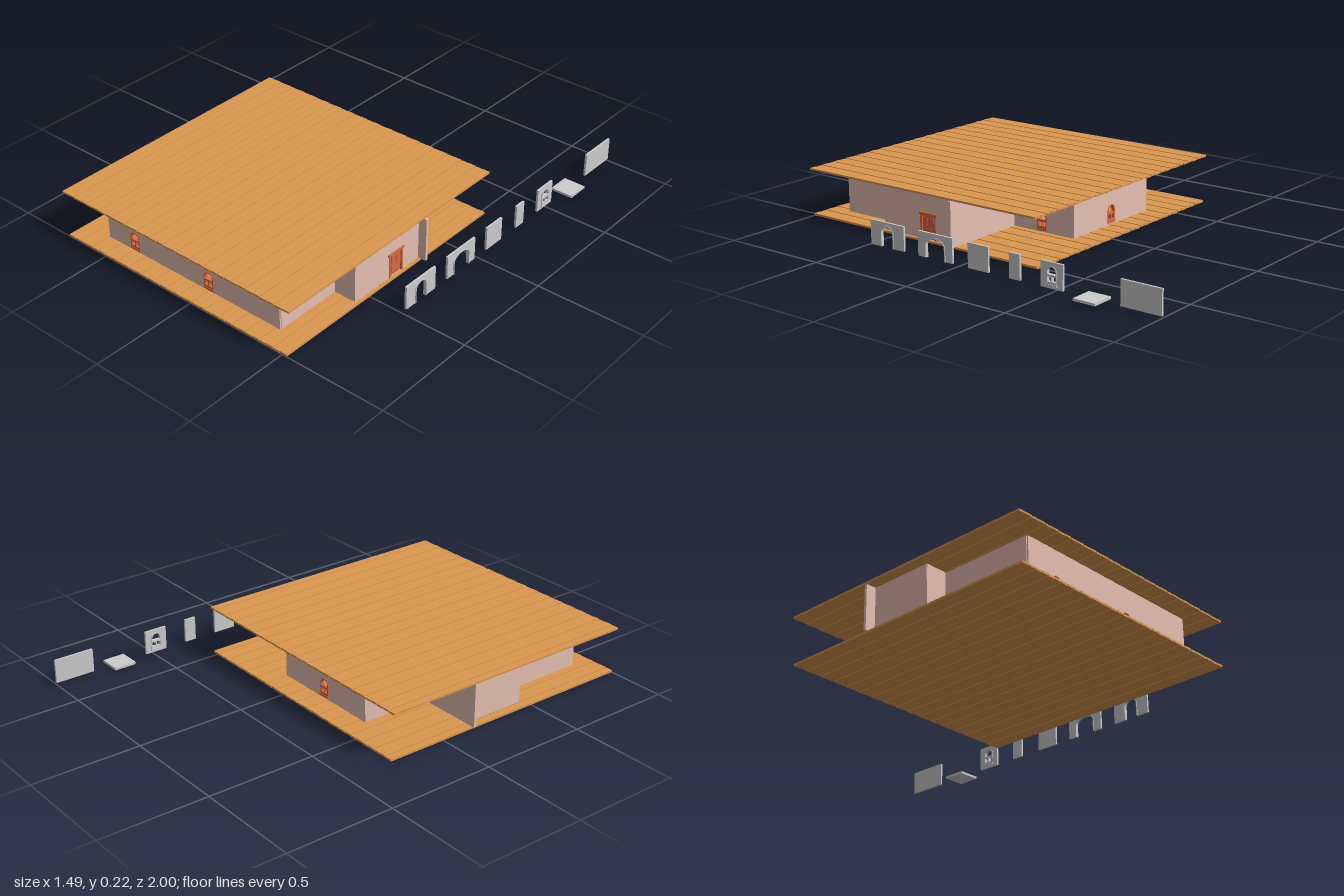
import * as THREE from 'three';

const mat = (color) => new THREE.MeshStandardMaterial({ color });
const WALL = mat(0xe6c0b2), WOOD = mat(0xdc9850), FRAME = mat(0xd8693f), GREY = mat(0xcccccc);
const BASE = 0.01, TOP = 0.216, T = 0.012;

// Closed rectangle outline.
function rect(PathType, u0, u1, y0, y1) {
  const p = new PathType();
  p.moveTo(u0, y0);
  p.lineTo(u1, y0);
  p.lineTo(u1, y1);
  p.lineTo(u0, y1);
  p.closePath();
  return p;
}

// Round-headed outline: straight sides up to the spring line, then a half circle.
function arch(PathType, u, half, y0, top) {
  const p = new PathType();
  p.moveTo(u - half, y0);
  p.lineTo(u + half, y0);
  p.lineTo(u + half, top - half);
  p.absarc(u, top - half, half, 0, Math.PI, false);
  p.closePath();
  return p;
}

// Upright slab from a shape; axis 'x' stands at z = at, axis 'z' stands at x = at.
function slab(name, shape, axis, at, depth, material) {
  const geo = new THREE.ExtrudeGeometry(shape, { depth, bevelEnabled: false, curveSegments: 10 });
  geo.translate(0, 0, -depth / 2);
  const mesh = new THREE.Mesh(geo, material);
  mesh.name = name;
  if (axis === 'z') {
    mesh.rotation.y = -Math.PI / 2;
    mesh.position.x = at;
  } else mesh.position.z = at;
  return mesh;
}

function box(name, x0, x1, y0, y1, z0, z1, material) {
  const mesh = new THREE.Mesh(new THREE.BoxGeometry(x1 - x0, y1 - y0, z1 - z0), material);
  mesh.position.set((x0 + x1) / 2, (y0 + y1) / 2, (z0 + z1) / 2);
  mesh.name = name;
  return mesh;
}

// Arched window: frame with a fanlight above two small panes, and a sill.
function windowUnit(u, axis, at, material) {
  const g = new THREE.Group();
  g.name = 'archedWindow';
  const s = arch(THREE.Shape, u, 0.026, 0.024, 0.102);
  s.holes.push(arch(THREE.Path, u, 0.021, 0.066, 0.097));
  for (const k of [-1, 1]) {
    const c = u + k * 0.0115;
    s.holes.push(rect(THREE.Path, c - 0.009, c + 0.009, 0.036, 0.057));
  }
  g.add(slab('windowFrame', s, axis, at, 0.016, material));
  g.add(slab('windowSill', rect(THREE.Shape, u - 0.028, u + 0.028, 0.018, 0.026), axis, at, 0.022, material));
  return g;
}

// Planked deck running front to back.
function deck(name, x0, x1, y0, y1, count) {
  const g = new THREE.Group();
  g.name = name;
  const pitch = (x1 - x0) / count;
  for (let i = 0; i < count; i++) {
    const lift = i % 2 ? 0.0015 : 0;
    const a = x0 + i * pitch;
    g.add(box('plank', a + 0.0015, a + pitch - 0.0015, y0 + lift, y1 - 0.0015 + lift, -0.28, 1, WOOD));
  }
  return g;
}

function createModel() {
  const model = new THREE.Group();
  model.name = 'houseKit';
  model.add(deck('floor', -0.73, 0.525, 0, 0.011, 34));
  model.add(deck('roof', -0.745, 0.54, 0.215, 0.225, 34));

  // Walls: axis, fixed coordinate, start, end, window centres
  const walls = [
    ['x', 0.895, -0.582, 0.398, [-0.42, 0.01]],
    ['z', -0.58, 0.46, 0.895, []],
    ['z', 0.395, 0.57, 0.895, []],
    ['x', 0.46, -0.69, -0.58, []],
    ['z', -0.685, 0.165, 0.464, []],
    ['x', 0.165, -0.74, 0.55, []],
    ['x', 0.57, 0.06, 0.508, []],
    ['x', 0.57, -0.58, -0.25, []],
    ['x', 0.68, -0.256, 0.066, []],
    ['z', -0.25, 0.57, 0.68, []],
    ['z', 0.06, 0.57, 0.68, []],
    ['z', -0.42, -0.162, 0.165, []],
    ['z', 0.12, -0.162, 0.165, [0.005]],
    ['x', -0.16, -0.424, 0.124, [-0.15]],
  ];
  for (const [axis, at, a, b, windows] of walls) {
    const s = rect(THREE.Shape, a, b, BASE, TOP);
    for (const u of windows) {
      s.holes.push(arch(THREE.Path, u, 0.024, 0.024, 0.1));
      model.add(windowUnit(u, axis, at, FRAME));
    }
    model.add(slab('wall', s, axis, at, T, WALL));
  }

  // Side wall with the doorway
  const sideWall = rect(THREE.Shape, 0.165, 0.574, BASE, TOP);
  sideWall.holes.push(rect(THREE.Path, 0.285, 0.355, 0.012, 0.118));
  model.add(slab('doorWall', sideWall, 'z', 0.504, T, WALL));

  // Door with posts, lintel and raised panels
  const door = new THREE.Group();
  door.name = 'door';
  door.add(slab('doorLeaf', rect(THREE.Shape, 0.285, 0.355, 0.012, 0.118), 'z', 0.504, 0.006, FRAME));
  for (const u of [0.281, 0.359]) {
    door.add(slab('doorPost', rect(THREE.Shape, u - 0.005, u + 0.005, BASE, 0.118), 'z', 0.504, 0.018, FRAME));
  }
  door.add(slab('lintel', rect(THREE.Shape, 0.27, 0.37, 0.117, 0.128), 'z', 0.504, 0.02, FRAME));
  for (const u of [0.304, 0.336]) for (const y of [0.022, 0.07]) {
    door.add(slab('doorPanel', rect(THREE.Shape, u - 0.011, u + 0.011, y, y + 0.038), 'z', 0.504, 0.01, FRAME));
  }
  model.add(door);

  // Row of loose building pieces beside the house
  const kit = new THREE.Group();
  kit.name = 'loosePieces';
  const X = 0.69, Y0 = 0.008, Y1 = 0.117;
  for (const [a, b, u, half, top] of [[0.292, 0.48, 0.387, 0.032, 0.1], [0.025, 0.212, 0.118, 0.05, 0.096]]) {
    // Doorway panel: the opening cuts through the bottom edge, with a raised surround
    const s = new THREE.Shape();
    s.moveTo(a, Y0);
    s.lineTo(u - half, Y0);
    s.lineTo(u - half, top - 0.032);
    s.absellipse(u, top - 0.032, half, 0.032, Math.PI, 0, true);
    s.lineTo(u + half, Y0);
    s.lineTo(b, Y0);
    s.lineTo(b, Y1);
    s.lineTo(a, Y1);
    s.closePath();
    kit.add(slab('archPanel', s, 'z', X, 0.01, GREY));
    const r = new THREE.Shape();
    r.moveTo(u + half, Y0);
    r.lineTo(u + half + 0.005, Y0);
    r.lineTo(u + half + 0.005, top - 0.032);
    r.absellipse(u, top - 0.032, half + 0.005, 0.037, 0, Math.PI, false);
    r.lineTo(u - half - 0.005, Y0);
    r.lineTo(u - half, Y0);
    r.lineTo(u - half, top - 0.032);
    r.absellipse(u, top - 0.032, half, 0.032, Math.PI, 0, true);
    r.closePath();
    kit.add(slab('archSurround', r, 'z', X, 0.016, GREY));
  }
  for (const [a, b] of [[-0.165, -0.058], [-0.327, -0.272], [-1, -0.812]]) {
    kit.add(slab('plainPanel', rect(THREE.Shape, a, b, Y0, Y1), 'z', X, 0.01, GREY));
  }
  const wp = rect(THREE.Shape, -0.54, -0.432, Y0, Y1);
  wp.holes.push(arch(THREE.Path, -0.486, 0.024, 0.024, 0.1));
  kit.add(slab('windowPanel', wp, 'z', X, 0.01, GREY));
  kit.add(windowUnit(-0.486, 'z', X, GREY));
  kit.add(box('floorTile', 0.64, 0.745, 0.003, 0.014, -0.73, -0.625, GREY));
  model.add(kit);
  return model;
}

export { createModel };
